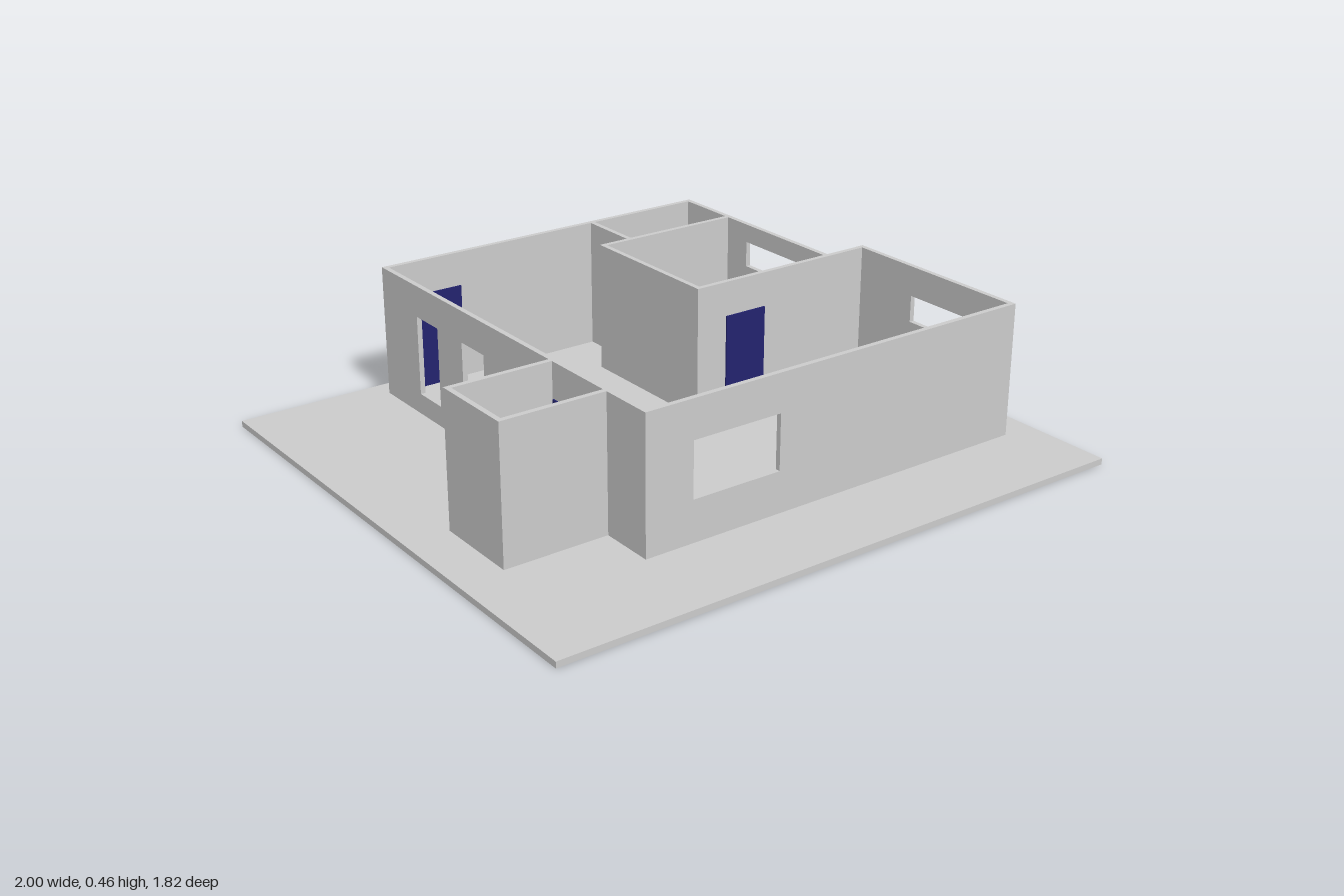
import * as THREE from 'three';

const FLOOR = 0.02, TOP = 0.46, DOOR_TOP = 0.345, T = 0.017;
const grey = new THREE.MeshStandardMaterial({ color: 0xcccccc });
const blue = new THREE.MeshStandardMaterial({ color: 0x23236e });

// Axis-aligned box between two corners
function box(name, [x0, y0, z0], [x1, y1, z1], material) {
  const geo = new THREE.BoxGeometry(x1 - x0, y1 - y0, z1 - z0);
  geo.translate((x0 + x1) / 2, (y0 + y1) / 2, (z0 + z1) / 2);
  const mesh = new THREE.Mesh(geo, material);
  mesh.name = name;
  return mesh;
}

// Wall along 'x' or 'z' from a to b, its near face at 'at'; holes are [a0, y0, a1, y1]
function wall(name, axis, a, b, at, holes = []) {
  const rect = (Type, [u0, v0, u1, v1]) => {
    const p = new Type();
    p.moveTo(u0, v0);
    p.lineTo(u1, v0);
    p.lineTo(u1, v1);
    p.lineTo(u0, v1);
    p.closePath();
    return p;
  };
  const shape = rect(THREE.Shape, [a, FLOOR, b, TOP]);
  shape.holes = holes.map((h) => rect(THREE.Path, h));
  const geo = new THREE.ExtrudeGeometry(shape, { depth: T, bevelEnabled: false });
  if (axis === 'x') geo.translate(0, 0, at);
  else geo.rotateY(-Math.PI / 2).translate(at + T, 0, 0);
  const mesh = new THREE.Mesh(geo, grey);
  mesh.name = name;
  return mesh;
}

// Opening in the wall hidden behind a door frame
const doorHole = (a, b) => [a + 0.005, FLOOR + 0.004, b - 0.005, DOOR_TOP - 0.005];

// Door: a thin frame standing proud of the wall, with a panel at its inner side
function door(name, axis, a, b, at) {
  const group = new THREE.Group();
  group.name = name;
  const c0 = at - 0.005, c1 = at + T + 0.005, f = 0.01;
  const part = (n, u0, y0, w0, u1, y1, w1) => group.add(axis === 'x'
    ? box(n, [u0, y0, w0], [u1, y1, w1], blue)
    : box(n, [w0, y0, u0], [w1, y1, u1], blue));
  part('doorJamb', a, FLOOR, c0, a + f, DOOR_TOP, c1);
  part('doorJamb', b - f, FLOOR, c0, b, DOOR_TOP, c1);
  part('doorHead', a + f, DOOR_TOP - f, c0, b - f, DOOR_TOP, c1);
  part('doorSill', a + f, FLOOR, c0, b - f, FLOOR + f, c1);
  part('doorPanel', a + f, FLOOR + f, c1 - 0.008, b - f, DOOR_TOP - f, c1);
  return group;
}

export function createModel() {
  const model = new THREE.Group();
  model.name = 'openRoofHouse';
  model.add(box('groundSlab', [-1, 0, -0.912], [1, FLOOR, 0.912], grey));

  // Tall windows along the right side of the house
  const tallWindows = [-0.555, -0.28, 0].map((z) => [z - 0.064, 0.09, z + 0.064, 0.355]);

  // Outer walls
  model.add(
    wall('frontWall', 'x', -0.508, 0.89, 0.596, [[-0.345, 0.155, -0.037, 0.335]]),
    wall('backWall', 'x', -0.508, 0.735, -0.836, [doorHole(-0.385, -0.23)]),
    wall('rightWall', 'z', -0.836 + T, 0.596, -0.508, [...tallWindows, doorHole(0.168, 0.325)]),
    wall('leftFrontWall', 'z', -0.066, 0.596, 0.873, [[0.176, 0.27, 0.488, 0.36]]),
    wall('leftBackWall', 'z', -0.836 + T, -0.083, 0.718, [[-0.485, 0.309, -0.176, 0.397]]),
    wall('middleWall', 'x', 0.187, 0.89, -0.083, [doorHole(0.3, 0.455)]),
  );

  // Inner room and closet partitions
  model.add(
    wall('roomSideWall', 'z', -0.588, -0.083, 0.187),
    wall('roomBackWall', 'x', 0.187, 0.718, -0.605),
    wall('closetWall', 'z', -0.836 + T, -0.605, 0.296),
  );

  // Small annex on the right
  model.add(
    wall('annexBackWall', 'x', -0.853, -0.508, 0.145),
    wall('annexFrontWall', 'x', -0.853, -0.508, 0.416),
    wall('annexSideWall', 'z', 0.145 + T, 0.416, -0.853),
  );

  // Doors
  model.add(
    door('backDoor', 'x', -0.385, -0.23, -0.836),
    door('roomDoor', 'x', 0.3, 0.455, -0.083),
    door('annexDoor', 'z', 0.168, 0.325, -0.508),
  );
  return model;
}
